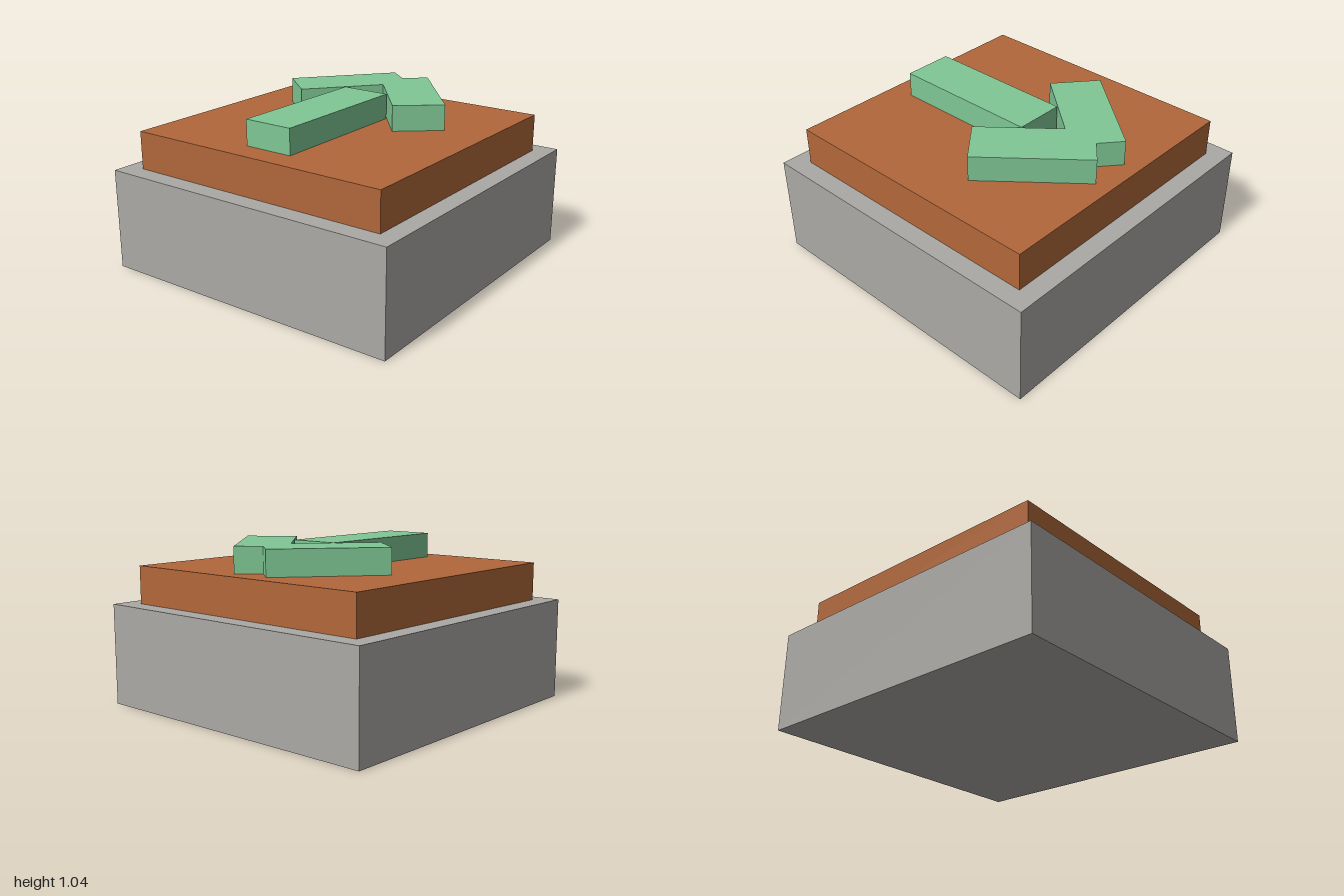
import * as THREE from 'three';

const material = (name, color) => {
  const m = new THREE.MeshStandardMaterial({ color });
  m.name = name;
  return m;
};

export function createModel() {
  const stone = material('stone grey', 0xaba9a5);
  const copper = material('copper orange', 0xb1673a);
  const green = material('soft green', 0x7fc794);

  const model = new THREE.Group();
  model.name = 'arrowPad';

  // Box resting with its underside at height y
  const block = (name, mat, w, h, d, x, y, z, turn = 0) => {
    const mesh = new THREE.Mesh(new THREE.BoxGeometry(w, h, d), mat);
    mesh.name = name;
    mesh.position.set(x, y + h / 2, z);
    mesh.rotation.y = turn;
    model.add(mesh);
  };

  // Stepped base
  block('base', stone, 2, 0.64, 2, 0, 0, 0);
  block('plate', copper, 1.76, 0.24, 1.76, 0, 0.64, 0);

  // Raised arrow pointing to the back
  block('arrowShaft', green, 0.32, 0.16, 0.96, 0, 0.88, 0.24);
  for (const [name, side] of [['arrowHeadLeft', 1], ['arrowHeadRight', -1]]) {
    block(name, green, 0.32, 0.16, 0.72, side * 0.24, 0.88, -0.4, side * THREE.MathUtils.degToRad(40));
  }

  return model;
}
